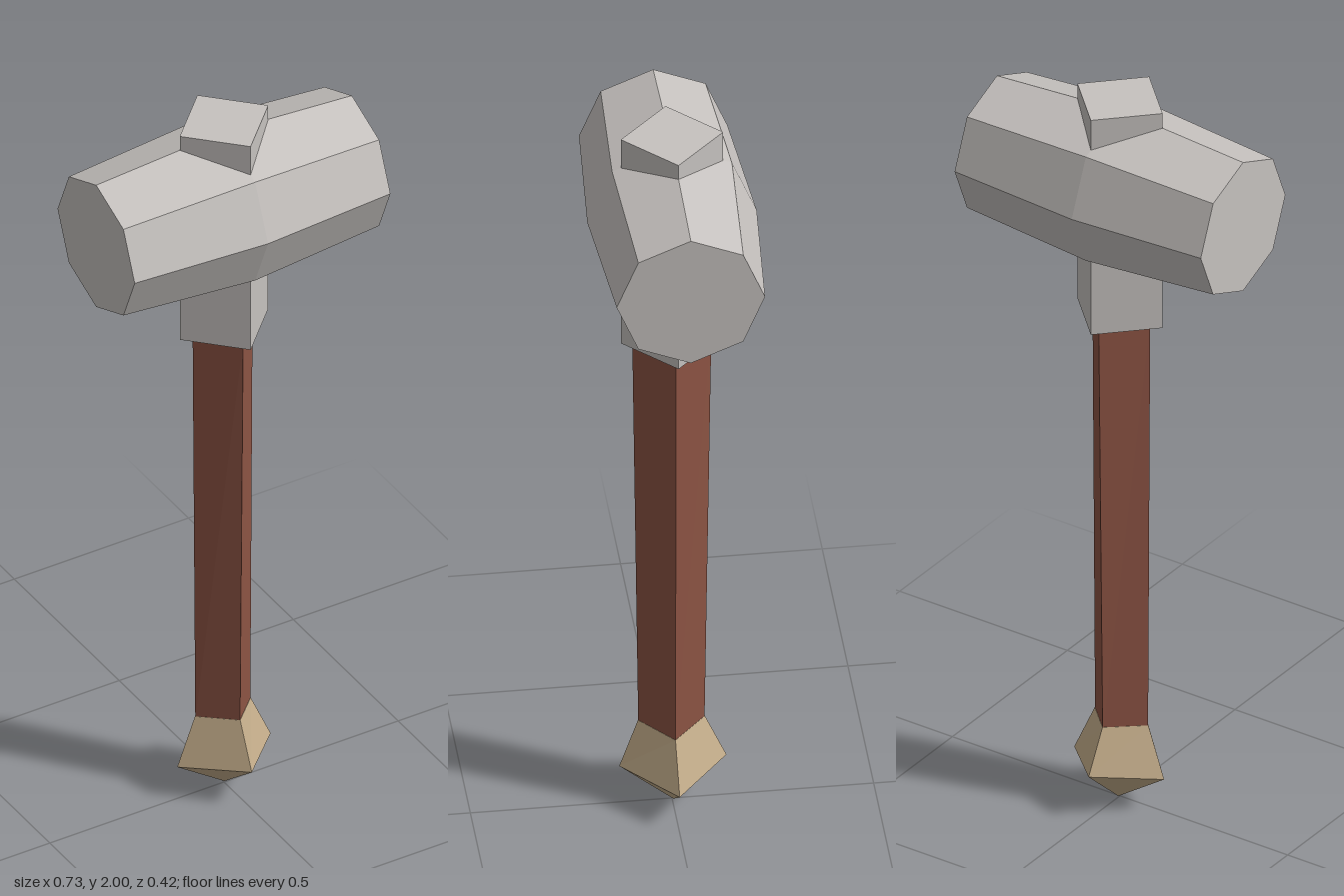
import * as THREE from 'three';

const material = (name, color) => {
  const m = new THREE.MeshStandardMaterial({ color });
  m.name = name;
  m.flatShading = true;
  return m;
};

// Ring of points around the y axis, starting at +z and turning towards +x
function ring(y, rx, rz = rx, sides = 4, cx = 0, cz = 0) {
  return Array.from({ length: sides }, (_, i) => {
    const a = (i / sides) * Math.PI * 2;
    return new THREE.Vector3(cx + rx * Math.sin(a), y, cz + rz * Math.cos(a));
  });
}

// Closed faceted solid through rings listed from bottom to top
function loft(rings) {
  const pts = [];
  const tri = (a, b, c) => {
    if (new THREE.Triangle(a, b, c).getArea() > 1e-9) pts.push(a, b, c);
  };
  const n = rings[0].length;
  for (let r = 0; r < rings.length - 1; r++) {
    const lo = rings[r], hi = rings[r + 1];
    for (let i = 0; i < n; i++) {
      const j = (i + 1) % n;
      tri(lo[i], lo[j], hi[j]);
      tri(lo[i], hi[j], hi[i]);
    }
  }
  const bottom = rings[0], top = rings[rings.length - 1];
  for (let i = 1; i < n - 1; i++) {
    tri(bottom[0], bottom[i + 1], bottom[i]);
    tri(top[0], top[i], top[i + 1]);
  }
  const g = new THREE.BufferGeometry().setFromPoints(pts);
  g.computeVertexNormals();
  return g;
}

export function createModel() {
  const group = new THREE.Group();
  const steel = material('steel', 0xc6c2bf);
  const wood = material('wood', 0x8d5444);
  const brass = material('brass', 0xc6af8c);

  const add = (name, geometry, mat) => {
    const mesh = new THREE.Mesh(geometry, mat);
    mesh.name = name;
    group.add(mesh);
    return mesh;
  };

  // Octagonal head, swelling slightly at the middle
  const head = loft([ring(-0.367, 0.184, 0.184, 8), ring(0, 0.21, 0.21, 8), ring(0.367, 0.184, 0.184, 8)]);
  head.rotateZ(Math.PI / 2);
  head.translate(0, 1.757, 0);
  add('hammerHead', head, steel);

  // Square socket running through the head, corners to the front
  add('socket', loft([ring(1.385, 0.127), ring(2, 0.127)]), steel);

  // Tapered square handle
  add('handle', loft([
    ring(0.22, 0.079, 0.082, 4, -0.004, 0.001),
    ring(1.39, 0.086, 0.098, 4, -0.004, 0),
  ]), wood);

  // Pointed pommel with a slightly uneven, hand-cut girdle
  const girdle = ring(0, 0.134, 0.133, 4, 0.001, -0.002);
  [0.109, 0.097, 0.12, 0.093].forEach((y, i) => { girdle[i].y = y; });
  const collar = ring(0.235, 0.08, 0.083, 4, -0.004, 0.001);
  [0.24, 0.228, 0.238, 0.23].forEach((y, i) => { collar[i].y = y; });
  add('pommel', loft([ring(0, 0, 0, 4, 0.003, -0.003), girdle, collar]), brass);

  return group;
}
